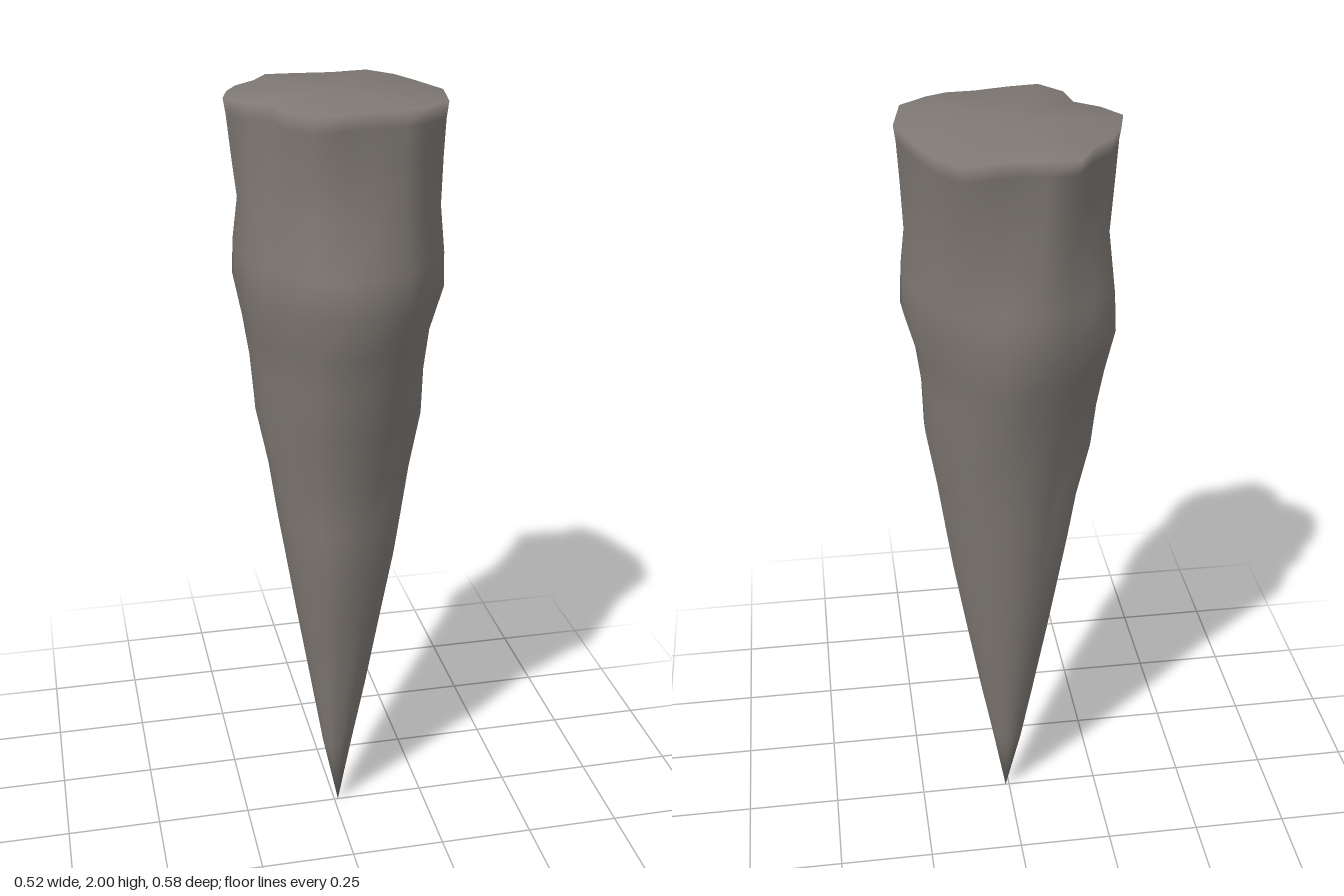
import * as THREE from 'three';

// Outline of the flat broken top, as x, z pairs going round from +x towards +z
const RIM = [
  [0.26, 0], [0.235, 0.14], [0.17, 0.195], [0.12, 0.22], [0.05, 0.225],
  [-0.03, 0.245], [-0.105, 0.255], [-0.155, 0.19], [-0.165, 0.11], [-0.22, 0.065],
  [-0.26, 0], [-0.24, -0.08], [-0.21, -0.145], [-0.155, -0.205], [-0.115, -0.278],
  [-0.05, -0.278], [0.05, -0.272], [0.142, -0.29], [0.195, -0.215], [0.225, -0.125],
];
// Outline of the swollen band below the top
const BULGE = [
  [0.255, 0], [0.258, 0.07], [0.2, 0.165], [0.13, 0.253], [0.05, 0.278],
  [-0.03, 0.29], [-0.1, 0.255], [-0.16, 0.198], [-0.21, 0.14], [-0.225, 0.065],
  [-0.23, 0], [-0.235, -0.08], [-0.23, -0.16], [-0.17, -0.213], [-0.11, -0.24],
  [-0.03, -0.283], [0.05, -0.278], [0.125, -0.24], [0.18, -0.19], [0.235, -0.09],
];
// Height, reach towards -x, +x, -z, +z, and share of the rim outline
const RINGS = [
  [0.2, 0.03, 0.045, 0.043, 0.037, 0.2],
  [0.4, 0.062, 0.082, 0.085, 0.075, 0.2],
  [0.62, 0.098, 0.12, 0.12, 0.105, 0.2],
  [0.8, 0.126, 0.15, 0.146, 0.148, 0.2],
  [0.92, 0.145, 0.167, 0.16, 0.157, 0.2],
  [1.05, 0.163, 0.185, 0.178, 0.165, 0.2],
  [1.2, 0.193, 0.21, 0.2, 0.205, 0.15],
  [1.32, 0.2, 0.212, 0.232, 0.23, 0.1],
  [1.42, 0.212, 0.225, 0.255, 0.252, 0],
  [1.53, 0.233, 0.256, 0.282, 0.29, 0],
  [1.62, 0.235, 0.253, 0.268, 0.28, 0.2],
  [1.74, 0.23, 0.245, 0.256, 0.25, 0.5],
  [1.86, 0.245, 0.25, 0.262, 0.243, 0.8],
  [1.95, 0.254, 0.255, 0.28, 0.25, 1],
  [1.988, 0.26, 0.26, 0.29, 0.255, 1],
];
// Shallow vertical folds: point on the outline, height, half length, depth
const FOLDS = [[3, 1, 0.35, 0.1], [19, 0.95, 0.35, 0.1], [8, 1.3, 0.4, 0.08], [13, 1.2, 0.4, 0.1]];

function createSpike() {
  const n = RIM.length;
  const pos = [0.01, 0, 0];
  const index = [];

  // Rings of the body
  for (const [y, left, right, back, front, share] of RINGS) {
    const pts = RIM.map((p, i) => [0, 1].map(k => THREE.MathUtils.lerp(BULGE[i][k], p[k], share)));
    const xs = pts.map(p => p[0]), zs = pts.map(p => p[1]);
    const maxX = Math.max(...xs), minX = -Math.min(...xs);
    const maxZ = Math.max(...zs), minZ = -Math.min(...zs);
    pts.forEach(([x, z], i) => {
      let s = 1;
      for (const [at, h, len, depth] of FOLDS) {
        if (at === i) s -= depth * Math.max(0, 1 - Math.abs(y - h) / len);
      }
      pos.push(x * s * (x > 0 ? right / maxX : left / minX), y, z * s * (z > 0 ? front / maxZ : back / minZ));
    });
  }
  const last = 1 + (RINGS.length - 1) * n;
  const centre = pos.length / 3;
  pos.push(0, 2, 0);

  // Tip, sides and slightly domed top
  for (let i = 0; i < n; i++) {
    const j = (i + 1) % n;
    index.push(0, 1 + i, 1 + j);
    for (let r = 0; r < RINGS.length - 1; r++) {
      const a = 1 + r * n + i, b = 1 + r * n + j;
      index.push(a, a + n, b, b, a + n, b + n);
    }
    index.push(centre, last + j, last + i);
  }
  const geo = new THREE.BufferGeometry();
  geo.setAttribute('position', new THREE.Float32BufferAttribute(pos, 3));
  geo.setIndex(index);
  geo.computeVertexNormals();
  return geo;
}

export function createModel() {
  const group = new THREE.Group();
  group.name = 'stalactite';
  const stone = new THREE.MeshStandardMaterial({ color: 0x7f7974 });
  stone.name = 'grey stone';
  const spike = new THREE.Mesh(createSpike(), stone);
  spike.name = 'rockSpike';
  group.add(spike);
  return group;
}
